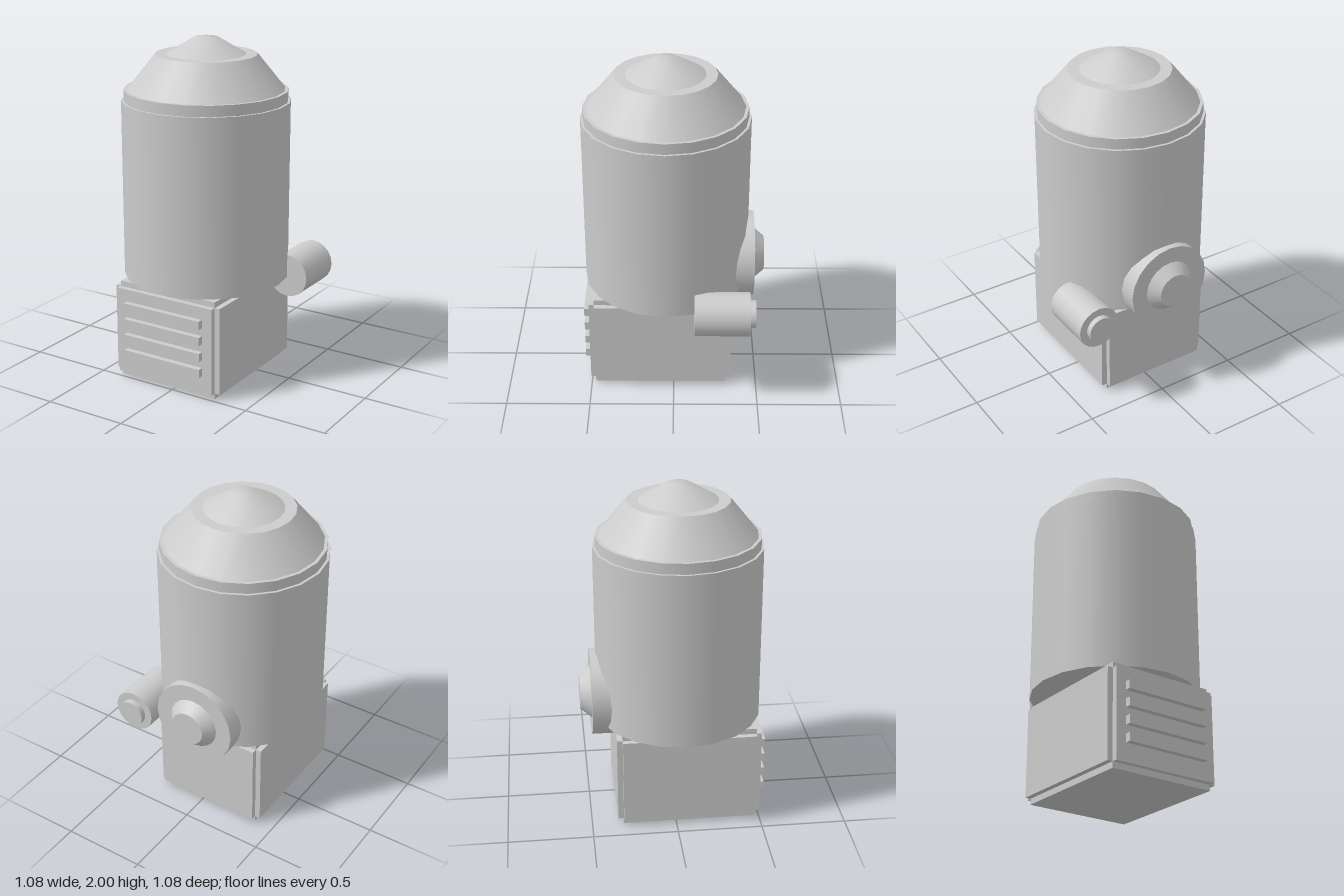
import * as THREE from 'three';

const CX = -0.05, CZ = 0.047, SIDES = 20;

export function createModel() {
  const model = new THREE.Group();
  model.name = 'tankOnBase';
  const grey = new THREE.MeshStandardMaterial({ color: 0xcccccc });

  const add = (name, geometry, x, y, z, parent = model) => {
    const mesh = new THREE.Mesh(geometry, grey);
    mesh.name = name;
    mesh.position.set(x, y, z);
    parent.add(mesh);
    return mesh;
  };
  const box = (name, [x0, x1], [y0, y1], [z0, z1], parent) => add(name,
    new THREE.BoxGeometry(x1 - x0, y1 - y0, z1 - z0),
    (x0 + x1) / 2, (y0 + y1) / 2, (z0 + z1) / 2, parent);
  // Upright round section of the tank
  const upright = (name, rBottom, rTop, y0, y1) => add(name,
    new THREE.CylinderGeometry(rTop, rBottom, y1 - y0, SIDES), CX, (y0 + y1) / 2, CZ);
  // Round section along z, radius rFront at z = front and rBack at z = back
  const lying = (name, rFront, rBack, x, y, front, back) => {
    const mesh = add(name, new THREE.CylinderGeometry(rBack, rFront, front - back, SIDES),
      x, y, (front + back) / 2);
    mesh.rotation.x = -Math.PI / 2;
  };

  // Base block with stepped edges
  const base = new THREE.Group();
  base.name = 'base';
  model.add(base);
  box('baseCore', [-0.375, 0.277], [0, 0.595], [-0.312, 0.473], base);
  box('baseSidePanels', [-0.408, 0.31], [0.035, 0.562], [-0.312, 0.473], base);
  box('baseFrontBackPanels', [-0.375, 0.277], [0.035, 0.562], [-0.345, 0.505], base);

  // Vent slats on the front
  for (let i = 0; i < 4; i++) {
    const y = 0.167 + i * 0.0985;
    box('ventSlat', [-0.312, 0.212], [y - 0.025, y + 0.025], [0.49, 0.538]);
  }

  // Tank, collar and tapering lid
  upright('tank', 0.49, 0.49, 0.593, 1.642);
  upright('collar', 0.475, 0.475, 1.63, 1.705);
  upright('shoulder', 0.46, 0.295, 1.70, 1.905);
  const cap = [[0.237, 1.90], [0.068, 2], [0, 2]].map(([r, y]) => new THREE.Vector2(r, y));
  add('cap', new THREE.LatheGeometry(cap, SIDES), CX, 0, CZ);

  // Round outlet on the back
  lying('outletDisc', 0.256, 0.256, CX, 0.73, -0.3, -0.477);
  lying('outletNozzle', 0.163, 0.103, CX, 0.73, -0.47, -0.54);

  // Small side canister
  lying('canister', 0.128, 0.128, 0.41, 0.595, -0.12, -0.443);
  lying('canisterCap', 0.081, 0.081, 0.41, 0.595, -0.43, -0.477);

  return model;
}
